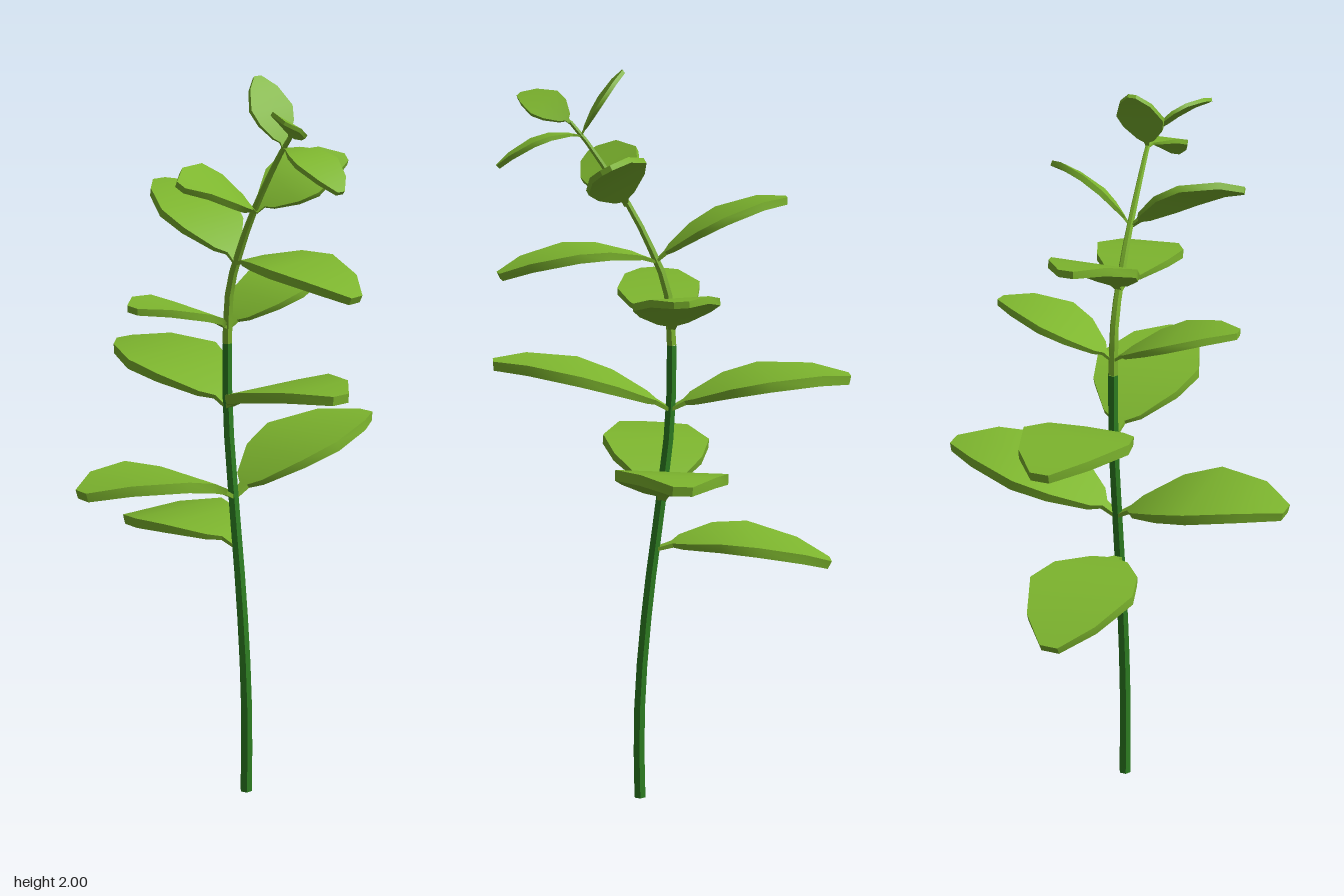
import * as THREE from 'three';
import { toCreasedNormals } from 'three/addons/utils/BufferGeometryUtils.js';

// Leaf outline: [fraction of length, of half width, of thickness]
const OUTLINE = [
  [0, 0.07, 0.35], [0.09, 0.11, 0.45], [0.14, 0.36, 0.6], [0.34, 0.82, 0.9],
  [0.54, 1, 1], [0.82, 0.66, 1], [1, 0.17, 0.9],
];

// A thick leaf on an arched midrib; up sets which way its face looks
function leafGeometry(base, tip, arch, halfWidth, up) {
  const middle = base.clone().lerp(tip, 0.5);
  middle.y += 2 * arch;
  const rib = new THREE.QuadraticBezierCurve3(base, middle, tip);
  const thick = Math.min(0.028, 0.055 * rib.getLength());
  const pos = [], index = [];
  for (const [t, w, h] of OUTLINE) {
    const along = rib.getTangentAt(t);
    const side = up.clone().cross(along).normalize();
    const normal = along.clone().cross(side);
    for (const [s, n] of [[-1, 1], [0, 1], [1, 1], [1, -1], [0, -1], [-1, -1]]) {
      const q = rib.getPointAt(t).addScaledVector(side, s * w * halfWidth)
        .addScaledVector(normal, n * h * thick / 2);
      pos.push(q.x, q.y, q.z);
    }
  }
  const last = (OUTLINE.length - 1) * 6;
  for (let r = 0; r < last; r += 6) {
    for (let j = 0; j < 6; j++) {
      const a = r + j, b = r + (j + 1) % 6;
      index.push(a, a + 6, b, b, a + 6, b + 6);
    }
  }
  // Base and tip ends
  for (const [a, b, c, d] of [[0, 1, 4, 5], [1, 2, 3, 4]]) {
    index.push(a, b, c, a, c, d);
    index.push(last + a, last + c, last + b, last + a, last + d, last + c);
  }
  const g = new THREE.BufferGeometry();
  g.setAttribute('position', new THREE.Float32BufferAttribute(pos, 3));
  g.setIndex(index);
  return toCreasedNormals(g, 0.7);
}

// Six-sided tube through [y, z] points that narrows from r0 to r1
function stemGeometry(points, r0, r1) {
  const curve = new THREE.CatmullRomCurve3(points.map(([y, z]) => new THREE.Vector3(0, y, z)));
  const segs = 10, sides = 6;
  const g = new THREE.TubeGeometry(curve, segs, 1, sides);
  const p = g.attributes.position, v = new THREE.Vector3();
  for (let i = 0; i <= segs; i++) {
    const c = curve.getPointAt(i / segs), r = r0 + (r1 - r0) * i / segs;
    for (let j = 0; j <= sides; j++) {
      const k = i * (sides + 1) + j;
      v.fromBufferAttribute(p, k).sub(c).multiplyScalar(r).add(c);
      p.setXYZ(k, v.x, v.y, v.z);
    }
  }
  return toCreasedNormals(g, 0.6);
}

// Leaf groups up the stem: joint height and depth, forward tilt and half width,
// then each leaf with its tip position and arch height
const WHORLS = [
  { y: 0.71, z: 0.04, tilt: 0, width: 0.148, leaves: [['lowestBackLeaf', 0, 0.66, -0.43, 0.05]] },
  { y: 0.845, z: 0.028, tilt: -0.06, width: 0.148, leaves: [
    ['lowerLeftLeaf', 0.48, 0.985, 0.01, 0.05], ['lowerRightLeaf', -0.485, 0.945, 0.02, 0.055]] },
  { y: 1.095, z: 0.005, tilt: 0, width: 0.148, leaves: [
    ['middleFrontLeaf', 0, 1.225, 0.475, 0.04], ['middleBackLeaf', 0, 1.172, -0.478, 0.045]] },
  { y: 1.31, z: 0, tilt: 0.05, width: 0.114, leaves: [
    ['upperLeftLeaf', 0.325, 1.432, 0, 0.035], ['upperRightLeaf', -0.335, 1.42, 0.042, 0.03]] },
  { y: 1.495, z: 0.042, tilt: 0, width: 0.119, leaves: [
    ['highFrontLeaf', 0.06, 1.47, 0.455, 0.045], ['highBackLeaf', 0, 1.655, -0.305, 0.04]] },
  { y: 1.645, z: 0.12, tilt: 0.55, width: 0.085, leaves: [
    ['topLeftLeaf', 0.247, 1.765, 0.185, 0.03], ['topRightLeaf', -0.29, 1.758, 0.19, 0.035]] },
  { y: 1.828, z: 0.237, tilt: 0.45, width: 0.066, leaves: [
    ['crownFrontLeaf', 0.005, 1.75, 0.455, 0.03], ['crownBackLeaf', 0, 1.995, 0.125, 0.015]] },
  { y: 1.86, z: 0.262, tilt: 0.75, width: 0.052, leaves: [['crownSideLeaf', -0.115, 1.925, 0.395, 0.015]] },
];

export function createModel() {
  const model = new THREE.Group();
  const leafGreen = new THREE.MeshStandardMaterial({ color: 0x7db52e });
  leafGreen.name = 'leaf green';
  const stemGreen = new THREE.MeshStandardMaterial({ color: 0x2e8022 });
  stemGreen.name = 'dark stem green';
  const add = (name, geometry, material) => {
    const mesh = new THREE.Mesh(geometry, material);
    mesh.name = name;
    model.add(mesh);
    return mesh;
  };

  // Stem: dark lower part, fresh upper part, closed foot
  add('lowerStem', stemGeometry([[0, 0.088], [0.2, 0.09], [0.4, 0.08], [0.62, 0.058],
    [0.86, 0.027], [1.08, 0.003], [1.27, 0]], 0.017, 0.014), stemGreen);
  add('upperStem', stemGeometry([[1.27, 0], [1.42, 0.012], [1.52, 0.05], [1.64, 0.11],
    [1.83, 0.235], [1.865, 0.265]], 0.014, 0.006), leafGreen);
  const foot = add('stemFoot', new THREE.CircleGeometry(0.017, 6), stemGreen);
  foot.rotation.x = Math.PI / 2;
  foot.position.set(0, 0.001, 0.088);

  // Leaves
  for (const { y, z, tilt, width, leaves } of WHORLS) {
    const up = new THREE.Vector3(0, 1, tilt).normalize();
    for (const [name, tx, ty, tz, arch] of leaves) {
      const base = new THREE.Vector3(0, y, z), tip = new THREE.Vector3(tx, ty, tz);
      add(name, leafGeometry(base, tip, arch, width, up), leafGreen);
    }
  }
  return model;
}
